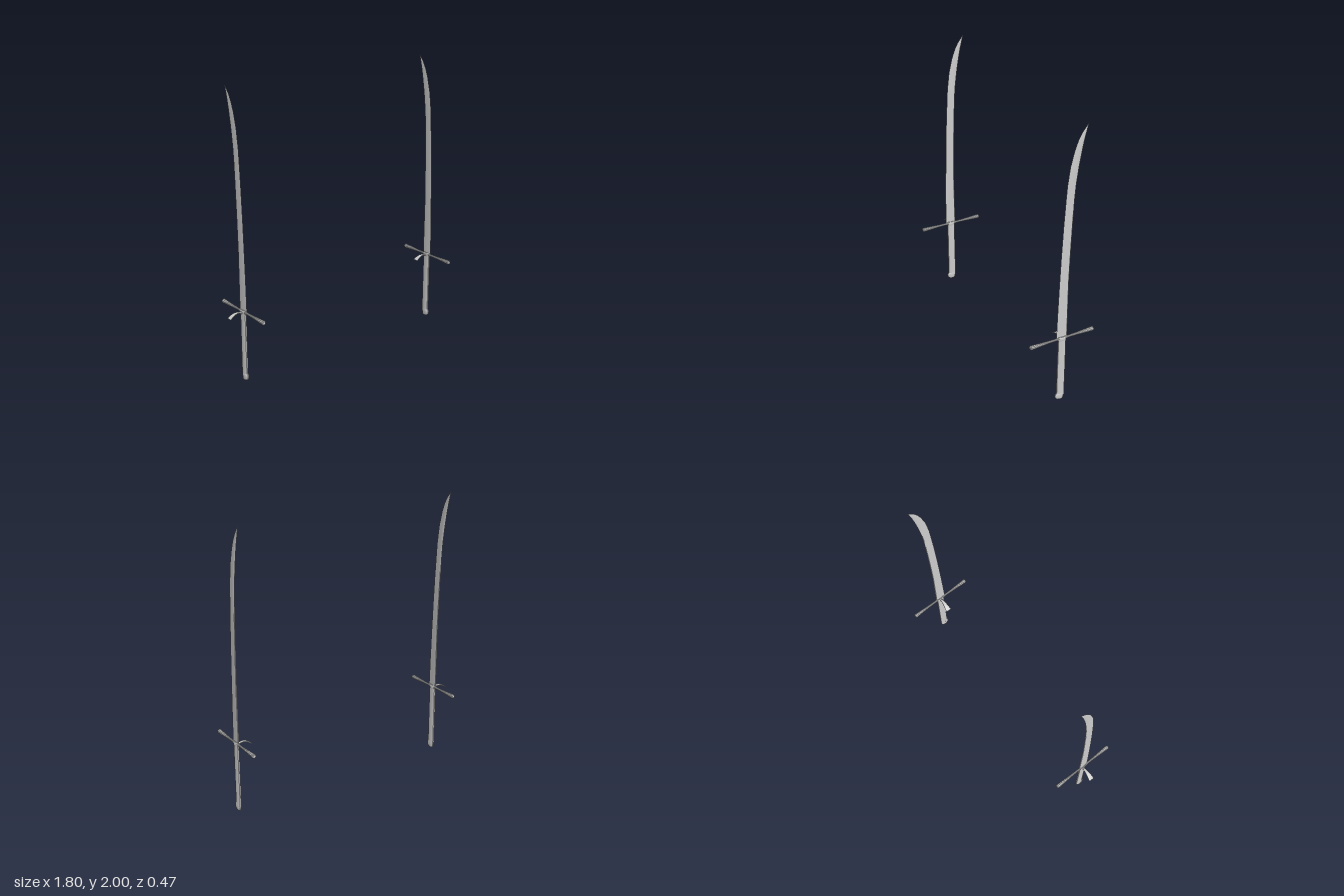
import * as THREE from 'three';
import { toCreasedNormals } from 'three/addons/utils/BufferGeometryUtils.js';

const material = new THREE.MeshStandardMaterial({ color: 0xcccccc });

// Skin a list of rings (counter-clockwise around the path) and cap both ends.
function loft(rings) {
  const n = rings[0].length;
  const pos = [];
  const idx = [];
  const centre = (ring) => ring.reduce((s, p) => s.map((v, i) => v + p[i] / n), [0, 0, 0]);
  rings.forEach((ring) => ring.forEach((p) => pos.push(...p)));
  const start = pos.length / 3;
  pos.push(...centre(rings[0]), ...centre(rings[rings.length - 1]));
  const last = (rings.length - 1) * n;
  for (let j = 0; j < n; j++) {
    const k = (j + 1) % n;
    for (let i = 0; i < rings.length - 1; i++) {
      const a = i * n + j, b = i * n + k;
      idx.push(a, b, b + n, a, b + n, a + n);
    }
    idx.push(start, k, j, start + 1, last + j, last + k);
  }
  const g = new THREE.BufferGeometry();
  g.setAttribute('position', new THREE.Float32BufferAttribute(pos, 3));
  g.setIndex(idx);
  return toCreasedNormals(g, 0.6);
}

// n points of an ellipse, handed to a function that places them in space
function ellipse(n, ru, rv, place) {
  return Array.from({ length: n }, (_, i) => {
    const t = ((i + 0.5) / n) * Math.PI * 2;
    return place(ru * Math.cos(t), rv * Math.sin(t));
  });
}

// Curved single-edged blade: [y, edge z, spine z, half thickness]
function bladeGeometry() {
  const rows = [
    [0.49, 0.042, -0.037, 0.006], [0.7, 0.038, -0.036, 0.006], [0.915, 0.032, -0.035, 0.006],
    [1.13, 0.025, -0.04, 0.0055], [1.34, 0.016, -0.047, 0.005], [1.5, 0.007, -0.053, 0.0045],
    [1.61, 0, -0.061, 0.004], [1.735, -0.016, -0.077, 0.0035], [1.84, -0.042, -0.095, 0.003],
    [1.9, -0.064, -0.107, 0.0025], [1.945, -0.088, -0.118, 0.002], [1.98, -0.115, -0.127, 0.0012],
    [2, -0.132, -0.1325, 0.0003],
  ];
  return loft(rows.map(([y, e, s, h]) => {
    const ridge = THREE.MathUtils.lerp(e, s, 0.55);
    const back = THREE.MathUtils.lerp(e, s, 0.95);
    return [[0, y, e], [h, y, ridge], [h * 0.6, y, back], [0, y, s], [-h * 0.6, y, back], [-h, y, ridge]];
  }));
}

// Vertical grip-like parts: [y, centre z, half depth z, half width x]
const upright = (rows, n) => loft(rows.map(([y, z, rz, rx]) =>
  ellipse(n, rz, rx, (u, v) => [v, y, z + u])));

// Cross bar flaring towards both ends: [z, radius x, radius y]
function guardGeometry() {
  const half = [[0.237, 0.011, 0.011], [0.232, 0.015, 0.0155], [0.18, 0.0125, 0.013],
    [0.11, 0.009, 0.009], [0.05, 0.0075, 0.0075], [0.02, 0.011, 0.011]];
  const rows = [...half.map(([z, a, b]) => [-z, a, b]), ...half.slice().reverse()];
  return loft(rows.map(([z, rx, ry]) => ellipse(10, rx, ry, (u, v) => [u, 0.5 + v, z])));
}

// Side hook curling down and widening to its end: [x, y, half width z, half thickness]
function hookGeometry() {
  const rows = [[0, 0.494, 0.009, 0.008], [-0.018, 0.497, 0.009, 0.007], [-0.04, 0.503, 0.011, 0.005],
    [-0.06, 0.502, 0.014, 0.0045], [-0.08, 0.495, 0.017, 0.004], [-0.097, 0.484, 0.02, 0.004],
    [-0.109, 0.474, 0.022, 0.0035]];
  return loft(rows.map(([x, y, w, h], i) => {
    const a = rows[Math.max(i - 1, 0)], b = rows[Math.min(i + 1, rows.length - 1)];
    const dx = b[0] - a[0], dy = b[1] - a[1], len = Math.hypot(dx, dy);
    const drift = 0.05 * x;
    return ellipse(8, w, h, (u, v) => [x + (dy / len) * v, y - (dx / len) * v, drift + u]);
  }));
}

function createSword() {
  const sword = new THREE.Group();
  const add = (name, geometry) => {
    const mesh = new THREE.Mesh(geometry, material);
    mesh.name = name;
    sword.add(mesh);
  };
  add('blade', bladeGeometry());
  add('grip', upright([[0.03, 0, 0.03, 0.0135], [0.27, 0, 0.03, 0.0138], [0.49, 0, 0.029, 0.0138]], 8));
  add('collar', upright([[0.482, 0, 0.028, 0.012], [0.488, 0, 0.03, 0.0145], [0.508, 0, 0.03, 0.0145],
    [0.514, 0, 0.027, 0.011]], 12));
  // Rounded pommel bulging towards the cutting edge
  add('pommel', upright([[0, -0.002, 0.012, 0.006], [0.006, 0.002, 0.024, 0.011], [0.018, 0.006, 0.031, 0.014],
    [0.034, 0.007, 0.033, 0.0145], [0.046, 0.004, 0.032, 0.0145], [0.052, 0.001, 0.029, 0.013]], 12));
  add('crossGuard', guardGeometry());
  add('sideHook', hookGeometry());
  return sword;
}

export function createModel() {
  const model = new THREE.Group();
  model.name = 'swordPair';
  [['rightSword', -0.79], ['leftSword', 0.886]].forEach(([name, x]) => {
    const sword = createSword();
    sword.name = name;
    sword.position.x = x;
    model.add(sword);
  });
  return model;
}
